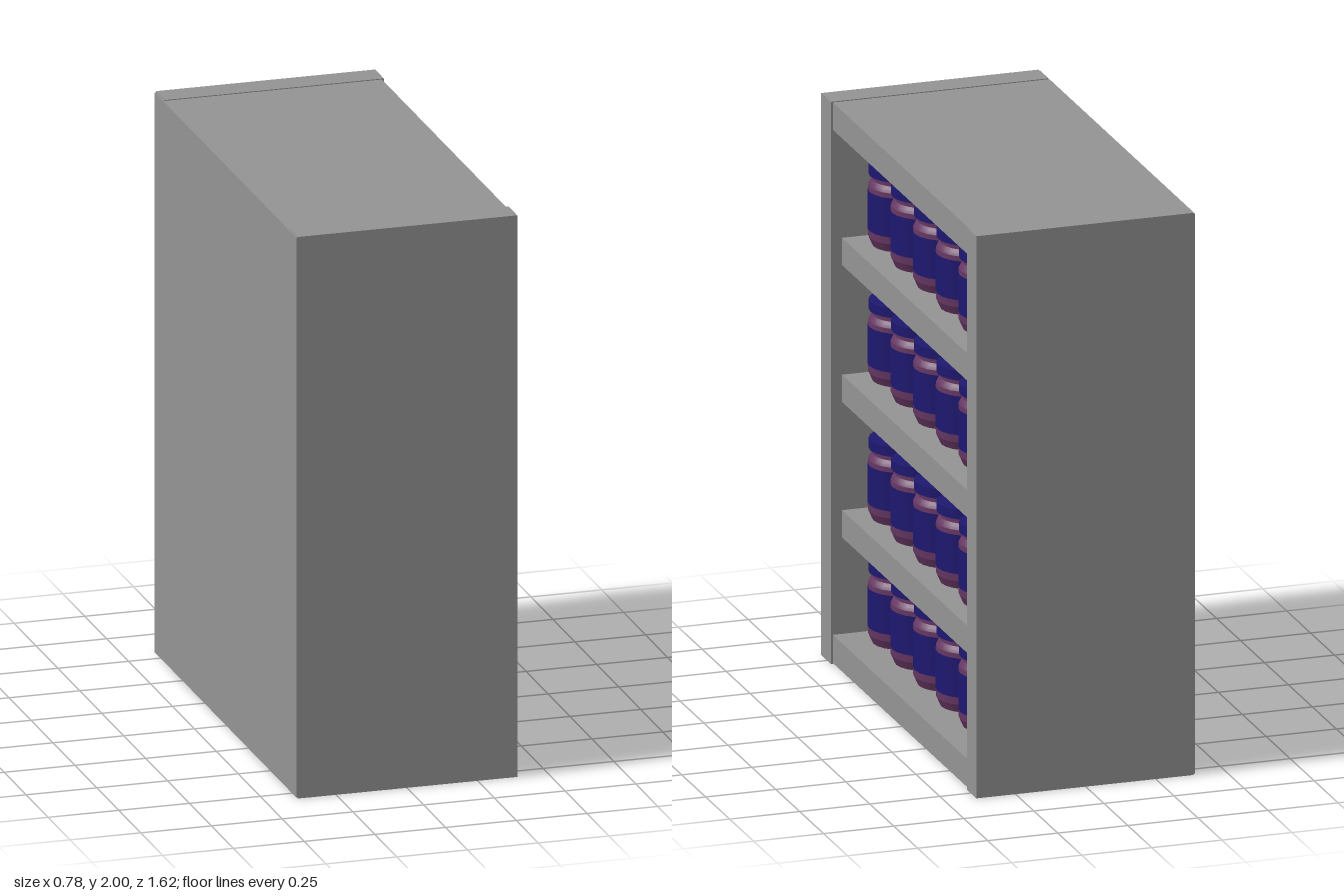
import * as THREE from 'three';
import { toCreasedNormals } from 'three/addons/utils/BufferGeometryUtils.js';

const wood = new THREE.MeshStandardMaterial({ color: 0x949494 });
const blue = new THREE.MeshStandardMaterial({ color: 0x1e1870 });
const purple = new THREE.MeshStandardMaterial({ color: 0x653662 });

// Box given by its min and max corners
function board(name, x0, x1, y0, y1, z0, z1) {
  const mesh = new THREE.Mesh(new THREE.BoxGeometry(x1 - x0, y1 - y0, z1 - z0), wood);
  mesh.position.set((x0 + x1) / 2, (y0 + y1) / 2, (z0 + z1) / 2);
  mesh.name = name;
  return mesh;
}

// Turned part from [radius, height] pairs, bottom to top, with sharp creases kept
function turned(profile) {
  const points = profile.map(([r, y]) => new THREE.Vector2(r, y));
  return toCreasedNormals(new THREE.LatheGeometry(points, 20), 0.35);
}

// Jar parts, shared by every jar
const jarParts = [
  ['jarBase', purple, turned([[0, 0], [0.1, 0], [0.113, 0.03], [0.114, 0.056]])],
  ['jarLabel', blue, turned([[0.114, 0.056], [0.114, 0.195]])],
  ['jarShoulder', purple, turned([[0.114, 0.195], [0.113, 0.212], [0.108, 0.222], [0.099, 0.232], [0.099, 0.252]])],
  ['jarLid', blue, turned([[0, 0.25], [0.111, 0.25], [0.111, 0.285], [0, 0.285]])],
];

function createJar() {
  const jar = new THREE.Group();
  jar.name = 'jar';
  for (const [name, material, geometry] of jarParts) {
    const mesh = new THREE.Mesh(geometry, material);
    mesh.name = name;
    jar.add(mesh);
  }
  return jar;
}

export function createModel() {
  const model = new THREE.Group();
  model.name = 'jarShelf';

  // Cabinet shell, open towards +x; the end panels stand slightly proud
  model.add(
    board('leftEndPanel', -0.385, 0.39, 0, 2, 0.71, 0.81),
    board('rightEndPanel', -0.385, 0.39, 0, 2, -0.81, -0.71),
    board('topBoard', -0.385, 0.383, 1.9, 1.997, -0.71, 0.71),
    board('bottomBoard', -0.385, 0.383, 0.003, 0.103, -0.71, 0.71),
    board('backPanel', -0.39, -0.375, 0.003, 1.997, -0.807, 0.807),
  );

  // Shelves, set back slightly from the front edge
  for (const top of [0.543, 1.025, 1.512]) {
    model.add(board('shelf', -0.38, 0.35, top - 0.097, top, -0.71, 0.71));
  }

  // One row of six jars on each level
  for (const y of [0.104, 0.543, 1.037, 1.518]) {
    const row = new THREE.Group();
    row.name = 'jarRow';
    row.position.set(0.185, y, 0);
    for (let i = 0; i < 6; i++) {
      const jar = createJar();
      jar.position.z = 0.573 - i * 0.2365;
      row.add(jar);
    }
    model.add(row);
  }
  return model;
}
